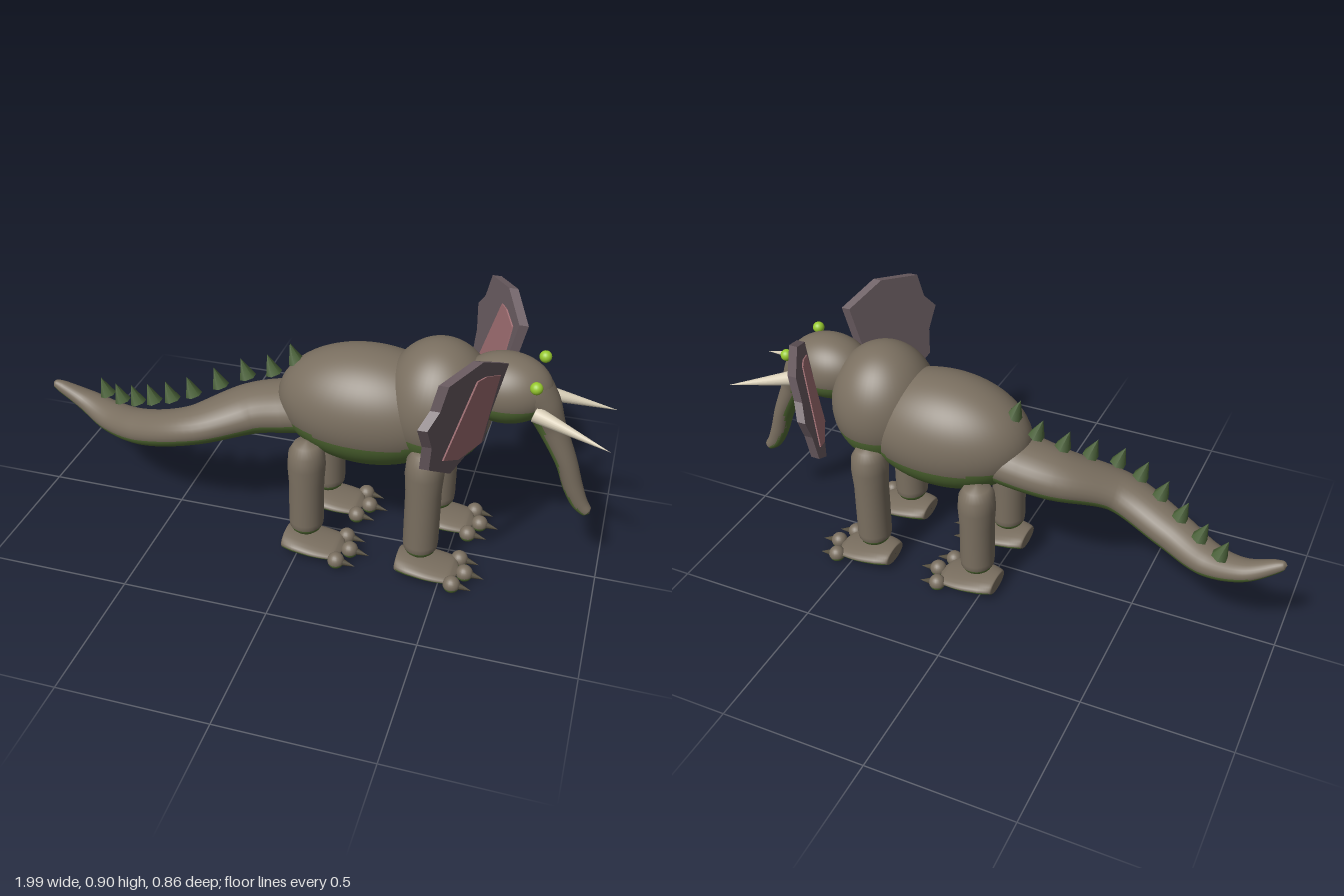
import * as THREE from 'three';

const mat = (name, color, side = THREE.FrontSide) => {
  const m = new THREE.MeshStandardMaterial({ color, side });
  m.name = name;
  return m;
};

export function createModel() {
  const root = new THREE.Group();
  root.name = 'elephantCreature';
  const hide = mat('hide', 0x7a6f60);
  const belly = mat('bellyGreen', 0x556f36);
  const spikeGreen = mat('spikeGreen', 0x4a6238);
  const earDark = mat('earDark', 0x685a5f);
  const earPink = mat('earPink', 0x9d6c70);
  const ivory = mat('ivory', 0xd9cfb8);
  const eyeLime = mat('eyeLime', 0x97c92f);
  const clawBrown = mat('clawBrown', 0x575040);

  const add = (name, geo, material, parent = root) => {
    const m = new THREE.Mesh(geo, material);
    m.name = name;
    parent.add(m);
    return m;
  };

  // Hide on top, green on faces that point down
  const addSkin = (name, geo, parent = root) => {
    const p = geo.attributes.position, idx = geo.index.array;
    const v = [0, 1, 2].map(() => new THREE.Vector3());
    const tri = new THREE.Triangle(), n = new THREE.Vector3();
    const top = [], under = [];
    for (let i = 0; i < idx.length; i += 3) {
      v.forEach((q, k) => q.fromBufferAttribute(p, idx[i + k]));
      tri.set(...v).getNormal(n);
      (n.y < -0.3 ? under : top).push(idx[i], idx[i + 1], idx[i + 2]);
    }
    geo.setIndex([...top, ...under]);
    geo.clearGroups();
    geo.addGroup(0, top.length, 0);
    geo.addGroup(top.length, under.length, 1);
    return add(name, geo, [hide, belly], parent);
  };

  const ellipsoid = (c, r, w = 40, h = 36) =>
    new THREE.SphereGeometry(1, w, h).scale(...r).translate(...c);

  // Skin through oval sections [x, y, z, upright radius, side radius]
  const loft = (sections, steps, sides = 28) => {
    const path = new THREE.CatmullRomCurve3(sections.map(s => new THREE.Vector3(s[0], s[1], s[2])));
    const radii = new THREE.CatmullRomCurve3(sections.map(s => new THREE.Vector3(s[3], s[4], 0)));
    const pos = [], index = [], Y = new THREE.Vector3(0, 1, 0);
    for (let i = 0; i <= steps; i++) {
      const t = i / steps, c = path.getPoint(t), r = radii.getPoint(t), T = path.getTangent(t);
      const S = T.clone().cross(Y).normalize(), U = S.clone().cross(T);
      for (let j = 0; j < sides; j++) {
        const a = j / sides * Math.PI * 2;
        const q = c.clone().addScaledVector(S, Math.cos(a) * r.y).addScaledVector(U, Math.sin(a) * r.x);
        pos.push(q.x, q.y, q.z);
        if (i < steps) {
          const k = (j + 1) % sides, A = i * sides, B = A + sides;
          index.push(A + j, B + j, A + k, B + j, B + k, A + k);
        }
      }
    }
    const g = new THREE.BufferGeometry();
    g.setAttribute('position', new THREE.Float32BufferAttribute(pos, 3));
    g.setIndex(index);
    g.computeVertexNormals();
    return g;
  };

  // Cone from a base point to a tip
  const cone = (name, base, tip, r, sides, material, parent = root) => {
    const b = new THREE.Vector3(...base), d = new THREE.Vector3(...tip).sub(b), h = d.length();
    const m = add(name, new THREE.ConeGeometry(r, h, sides).translate(0, h / 2, 0), material, parent);
    m.position.copy(b);
    m.quaternion.setFromUnitVectors(new THREE.Vector3(0, 1, 0), d.normalize());
    return m;
  };

  // Trunk of the body and head
  addSkin('body', ellipsoid([0.2, 0.548, 0], [0.31, 0.203, 0.195], 48, 48));
  addSkin('chest', ellipsoid([0.43, 0.6, 0], [0.18, 0.215, 0.19], 48, 48));
  addSkin('head', ellipsoid([0.64, 0.687, 0], [0.15, 0.115, 0.115]));
  addSkin('noseTrunk', loft([
    [0.66, 0.73, 0, 0.03, 0.05], [0.7, 0.705, 0, 0.075, 0.095], [0.755, 0.65, 0, 0.06, 0.075],
    [0.795, 0.57, 0, 0.045, 0.053], [0.853, 0.45, 0, 0.035, 0.042], [0.888, 0.35, 0, 0.032, 0.033],
    [0.915, 0.295, 0, 0.027, 0.026], [0.94, 0.268, 0, 0.019, 0.02], [0.95, 0.26, 0, 0.001, 0.001]], 64));

  // Tail, curving from side to side
  addSkin('tail', loft([
    [0.02, 0.51, 0, 0.09, 0.12], [-0.08, 0.49, 0, 0.085, 0.118], [-0.2, 0.465, 0.012, 0.08, 0.11],
    [-0.4, 0.402, 0.086, 0.062, 0.086], [-0.6, 0.332, 0.045, 0.06, 0.076], [-0.75, 0.306, -0.02, 0.051, 0.066],
    [-0.87, 0.333, -0.056, 0.036, 0.046], [-0.97, 0.38, -0.052, 0.022, 0.023],
    [-0.992, 0.39, -0.05, 0.014, 0.014], [-1, 0.392, -0.05, 0.001, 0.001]], 90));

  // Row of spikes: x, base height, z
  const spikes = [[-0.05, 0.66, 0], [-0.13, 0.605, 0], [-0.22, 0.58, 0.01], [-0.305, 0.55, 0.045],
    [-0.39, 0.52, 0.08], [-0.47, 0.487, 0.08], [-0.55, 0.45, 0.055], [-0.63, 0.412, 0.02],
    [-0.71, 0.382, -0.02], [-0.79, 0.368, -0.065]];
  spikes.forEach(([x, y, z], i) =>
    cone('spike' + (i + 1), [x, y, z], [x - 0.024, y + 0.068, z], 0.029, 6, spikeGreen));

  // Ears: swept-back jagged plates with a pink panel on one face
  const earOutline = [[0.127, 0.842], [0.255, 0.905], [0.384, 0.882], [0.393, 0.8], [0.428, 0.75], [0.387, 0.67],
    [0.372, 0.58], [0.262, 0.505], [0.205, 0.548], [0.134, 0.563], [0.145, 0.665]];
  const panelOutline = [[0.262, 0.842], [0.227, 0.842], [0.16, 0.817], [0.155, 0.565], [0.248, 0.552], [0.322, 0.588]];
  const earPlate = (outline, side, offset, depth) => {
    const shape = new THREE.Shape(outline.map(([z, y]) => new THREE.Vector2(-side * z, y)));
    const g = new THREE.ExtrudeGeometry(shape, { depth, bevelEnabled: false }).rotateY(Math.PI / 2);
    const p = g.attributes.position;
    for (let i = 0; i < p.count; i++) {
      const lean = 0.617 - 0.54 * (Math.abs(p.getZ(i)) - 0.13) + 0.17 * (p.getY(i) - 0.67);
      p.setX(i, p.getX(i) + offset + lean);
    }
    g.computeVertexNormals();
    return g;
  };
  add('leftSideEar', earPlate(earOutline, 1, -0.022, 0.03), earDark);
  add('leftSideEarPanel', earPlate(panelOutline, 1, 0.006, 0.007), earPink);
  add('rightSideEar', earPlate(earOutline, -1, 0, 0.03), earDark);
  add('rightSideEarPanel', earPlate(panelOutline, -1, -0.005, 0.007), earPink);

  // One leg with its foot, toes and claws
  const addLeg = (name, cx, cz, top) => {
    const leg = new THREE.Group();
    leg.name = name;
    root.add(leg);
    const profile = [[0, 0.09], [0.025, 0.091], [0.04, 0.096], [0.05, 0.106], [0.057, 0.12], [0.059, 0.14],
      [0.059, top - 0.16], [0.064, top - 0.09], [0.06, top - 0.04], [0.043, top - 0.01], [0, top]];
    addSkin('shaft', new THREE.LatheGeometry(profile.map(p => new THREE.Vector2(...p)), 28)
      .scale(1, 1, 1.09).translate(cx, 0, cz), leg);
    addSkin('foot', loft([
      [cx - 0.076, 0.046, cz, 0.001, 0.001], [cx - 0.075, 0.046, cz, 0.027, 0.058],
      [cx - 0.03, 0.046, cz, 0.028, 0.078], [cx + 0.04, 0.041, cz, 0.023, 0.084],
      [cx + 0.11, 0.036, cz, 0.017, 0.075], [cx + 0.14, 0.034, cz, 0.001, 0.001]], 30, 20), leg);
    for (const k of [-1, 0, 1]) {
      const x = cx + (k ? 0.125 : 0.155), z = cz + k * 0.07;
      addSkin('toe', ellipsoid([x, 0.033, z], [0.029, 0.029, 0.029], 18, 14), leg);
      cone('claw', [x + 0.02, 0.031, z], [x + 0.068, 0.02, z], 0.013, 8, clawBrown, leg);
    }
  };

  // Mirrored parts
  for (const s of [1, -1]) {
    const label = s > 0 ? 'leftSide' : 'rightSide';
    addLeg(label + 'FrontLeg', 0.425, s * 0.143, 0.5);
    addLeg(label + 'HindLeg', 0.025, s * 0.135, 0.45);
    cone(label + 'Tusk', [0.745, 0.648, s * 0.072], [0.988, 0.588, s * 0.128], 0.027, 20, ivory);
    add(label + 'Eye', new THREE.SphereGeometry(0.02, 20, 16), eyeLime).position.set(0.743, 0.757, s * 0.104);
  }
  return root;
}
